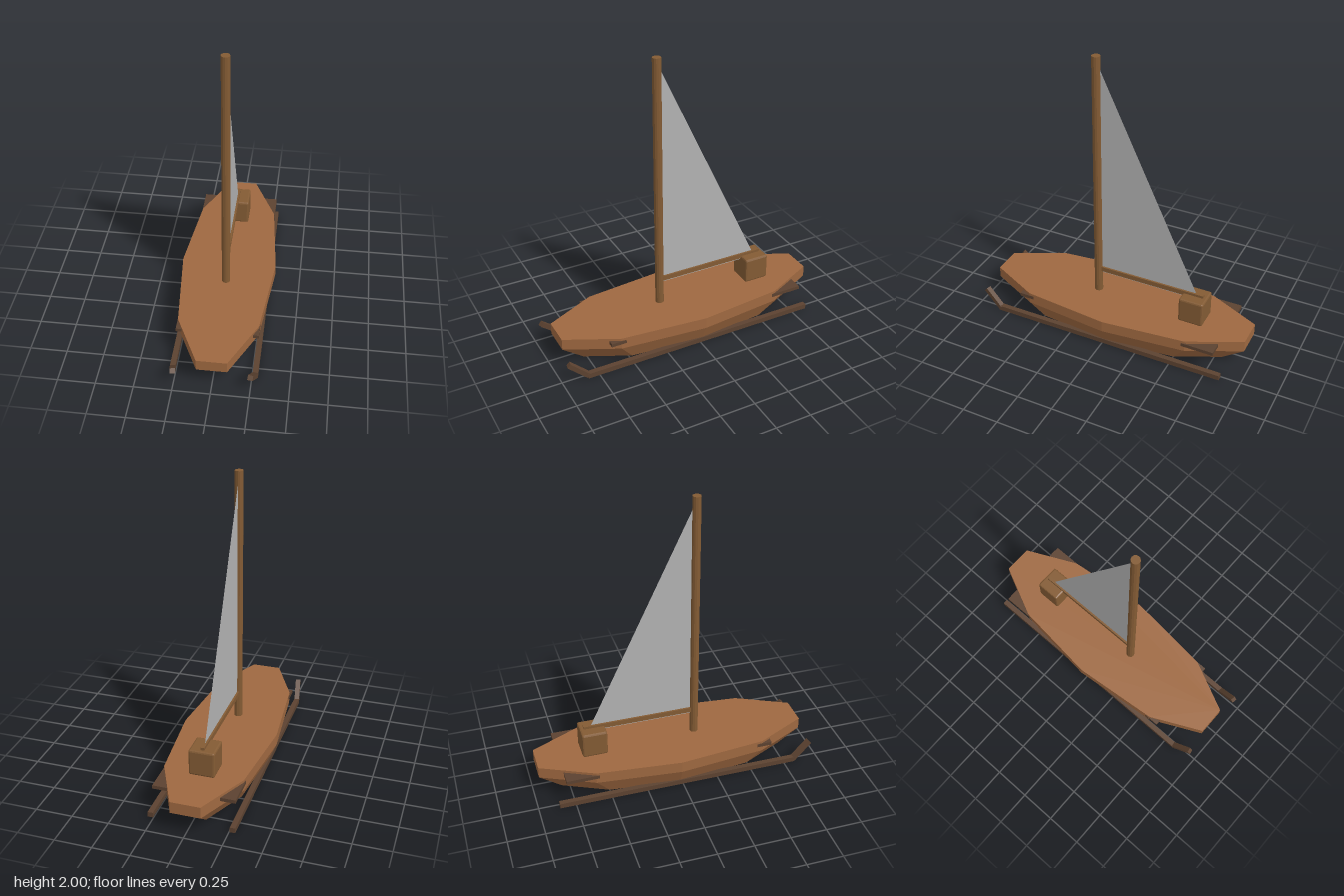
import * as THREE from 'three';
import { RoundedBoxGeometry } from 'three/addons/geometries/RoundedBoxGeometry.js';

const material = (name, color, extra = {}) => {
  const m = new THREE.MeshStandardMaterial({ color, flatShading: true, ...extra });
  m.name = name;
  return m;
};

// Hull lofted through three rings of the same ten-sided outline
function hullGeometry() {
  const half = [[0.1, 0.93], [0.27, 0.58], [0.33, -0.02], [0.27, -0.6], [0.1, -0.96]];
  const outline = [...half, ...half.slice().reverse().map(([x, z]) => [-x, z])];
  const n = outline.length;
  const rings = [[0.02, 0.84], [0.14, 1], [0.22, 1]];
  const pos = [], index = [];
  for (const [y, s] of rings) for (const [x, z] of outline) pos.push(x * s, y, z * s);
  for (let r = 0; r < rings.length - 1; r++) {
    for (let i = 0; i < n; i++) {
      const a = r * n + i, b = r * n + (i + 1) % n;
      index.push(a, b, b + n, a, b + n, a + n);
    }
  }
  // Flat bottom and deck
  const top = (rings.length - 1) * n;
  for (let i = 1; i < n - 1; i++) {
    index.push(0, i + 1, i);
    index.push(top, top + i, top + i + 1);
  }
  const g = new THREE.BufferGeometry();
  g.setAttribute('position', new THREE.Float32BufferAttribute(pos, 3));
  g.setIndex(index);
  const flat = g.toNonIndexed();
  flat.computeVertexNormals();
  return flat;
}

export function createModel() {
  const model = new THREE.Group();
  model.name = 'iceBoat';

  const hullWood = material('hull wood', 0x9e6840);
  const sparWood = material('spar wood', 0x835b34);
  const darkWood = material('dark wood', 0x5c4230);
  const cloth = material('sail cloth', 0xb2b2b2, { side: THREE.DoubleSide });

  const add = (name, geometry, mat, x = 0, y = 0, z = 0, parent = model) => {
    const mesh = new THREE.Mesh(geometry, mat);
    mesh.name = name;
    mesh.position.set(x, y, z);
    parent.add(mesh);
    return mesh;
  };

  add('hull', hullGeometry(), hullWood);

  // Mast, boom and stern box
  add('mast', new THREE.CylinderGeometry(0.029, 0.029, 1.8, 12), sparWood, 0, 1.1, 0.167);
  add('boom', new THREE.BoxGeometry(0.026, 0.034, 0.79), sparWood, 0, 0.403, -0.225);
  add('sternBox', new RoundedBoxGeometry(0.175, 0.18, 0.175, 1, 0.012), sparWood, 0, 0.312, -0.56);

  // Triangular sail in the centre plane
  const sail = new THREE.Shape([
    new THREE.Vector2(-0.145, 0.372),
    new THREE.Vector2(0.588, 0.372),
    new THREE.Vector2(-0.145, 1.92),
  ]);
  add('sail', new THREE.ShapeGeometry(sail), cloth).rotation.y = Math.PI / 2;

  // Planks crossing the hull
  add('frontPlank', new THREE.BoxGeometry(0.55, 0.024, 0.105), darkWood, 0, 0.19, 0.598);
  add('rearPlank', new THREE.BoxGeometry(0.55, 0.024, 0.225), darkWood, 0, 0.19, -0.69);

  // Runners with upturned, slightly inward tips
  for (const side of [1, -1]) {
    const runner = new THREE.Group();
    runner.name = side > 0 ? 'leftRunner' : 'rightRunner';
    model.add(runner);
    add('blade', new THREE.BoxGeometry(0.036, 0.035, 1.69), darkWood, side * 0.272, 0.0175, -0.015, runner);
    const from = new THREE.Vector3(side * 0.272, 0.018, 0.822);
    const to = new THREE.Vector3(side * 0.25, 0.127, 0.948);
    const mid = from.clone().lerp(to, 0.5);
    const tip = add('tip', new THREE.BoxGeometry(0.035, 0.033, from.distanceTo(to)), darkWood, mid.x, mid.y, mid.z, runner);
    tip.lookAt(to);
  }
  return model;
}
